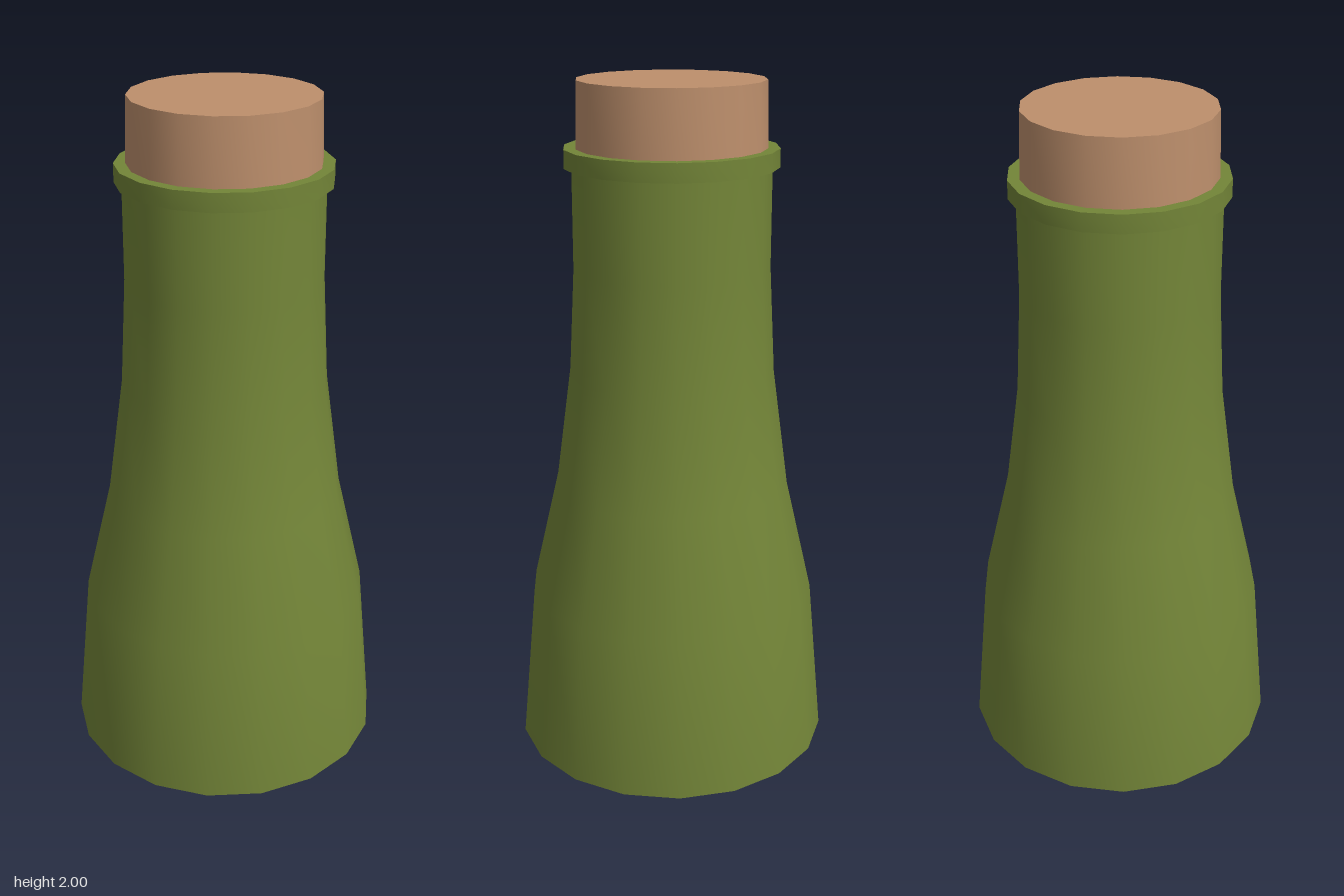
import * as THREE from 'three';
import { toCreasedNormals } from 'three/addons/utils/BufferGeometryUtils.js';

const SIDES = 18;

// Revolve a profile listed from bottom to top, with a corner on the x axis
function turned(name, profile, material) {
  const points = profile.map(([r, y]) => new THREE.Vector2(r, y));
  const lathe = new THREE.LatheGeometry(points, SIDES, Math.PI / 2);
  const mesh = new THREE.Mesh(toCreasedNormals(lathe, 0.7), material);
  mesh.name = name;
  return mesh;
}

export function createModel() {
  const glass = new THREE.MeshStandardMaterial({ color: 0x738538 });
  glass.name = 'green glass';
  const corkBrown = new THREE.MeshStandardMaterial({ color: 0xbd8f6c });
  corkBrown.name = 'cork brown';

  const model = new THREE.Group();
  model.name = 'corkedBottle';

  // Closed base, flared body and long neck
  model.add(turned('bottleBody', [
    [0, 0], [0.475, 0], [0.43, 0.48], [0.35, 0.82],
    [0.302, 1.17], [0.285, 1.48], [0.284, 1.79],
  ], glass));

  // Raised lip around the mouth
  model.add(turned('lipRing', [
    [0.275, 1.762], [0.305, 1.762], [0.305, 1.815], [0.262, 1.815],
  ], glass));

  // Slightly tapered stopper, pushed into the neck
  model.add(turned('cork', [
    [0, 1.7], [0.275, 1.7], [0.266, 2], [0, 2],
  ], corkBrown));

  return model;
}
